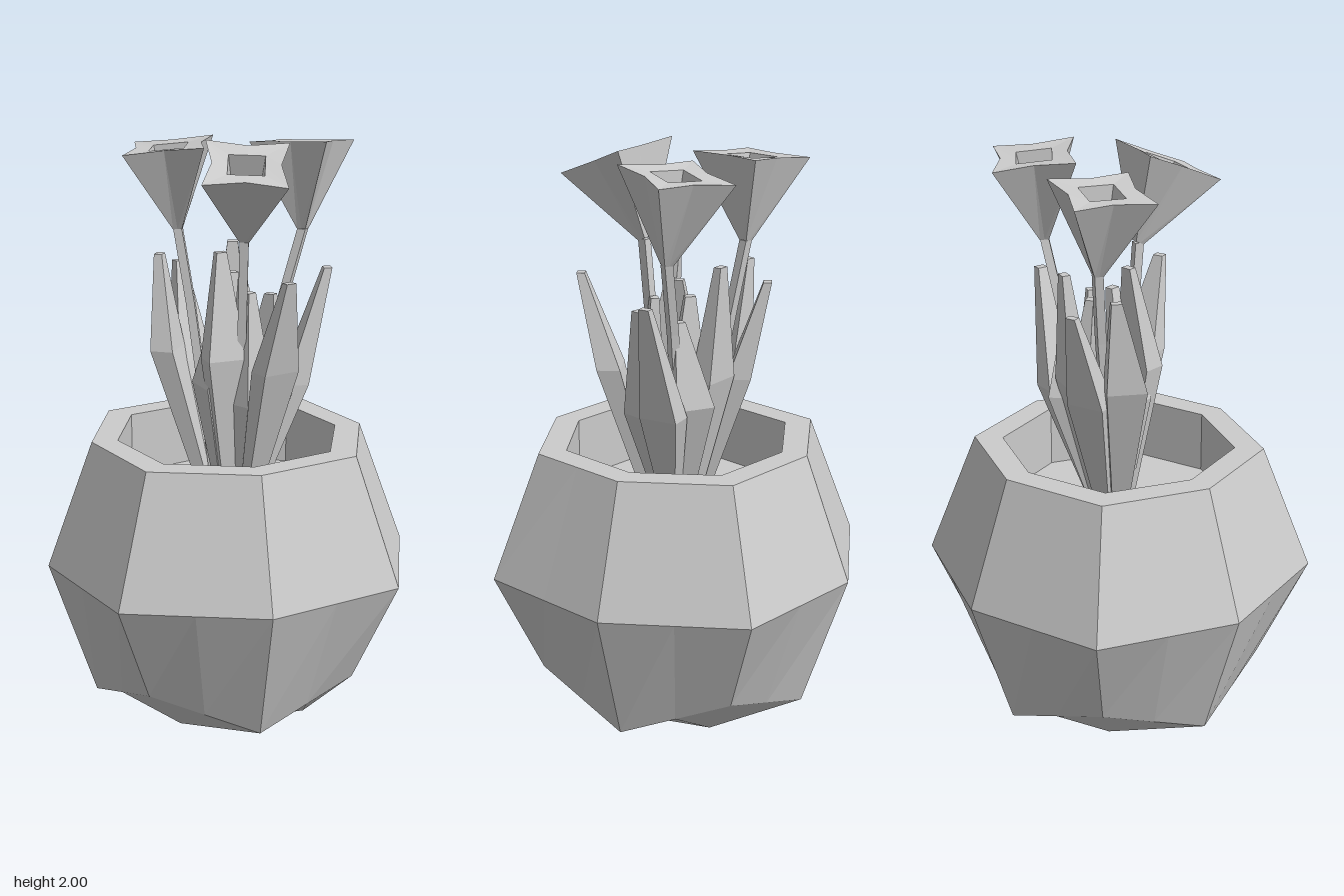
import * as THREE from 'three';

const material = new THREE.MeshStandardMaterial({ color: 0xcccccc, flatShading: true });
const V = (x, y, z) => new THREE.Vector3(x, y, z);

// Skin a list of rings (counter-clockwise seen from +y) and cap both ends
function loft(name, rings) {
  const out = [];
  const tri = (...pts) => pts.forEach((p) => out.push(p.x, p.y, p.z));
  const n = rings[0].length;
  for (let k = 0; k < rings.length - 1; k++) {
    const a = rings[k], b = rings[k + 1];
    for (let i = 0; i < n; i++) {
      const j = (i + 1) % n;
      tri(a[i], a[j], b[j]);
      tri(a[i], b[j], b[i]);
    }
  }
  const first = rings[0], last = rings[rings.length - 1];
  for (let i = 1; i < n - 1; i++) {
    tri(first[0], first[i + 1], first[i]);
    tri(last[0], last[i], last[i + 1]);
  }
  const geometry = new THREE.BufferGeometry();
  geometry.setAttribute('position', new THREE.Float32BufferAttribute(out, 3));
  geometry.computeVertexNormals();
  const mesh = new THREE.Mesh(geometry, material);
  mesh.name = name;
  return mesh;
}

// Pot ring: 4 axis points, 4 diagonal points and the 8 points between them
function potRing(axisR, axisY, diag, diagY, snapToDiagonal = false) {
  const corners = [];
  for (let i = 0; i < 8; i++) {
    const a = (i * Math.PI) / 4;
    const r = i % 2 ? diag * Math.SQRT2 : axisR;
    corners.push(V(r * Math.sin(a), i % 2 ? diagY : axisY, r * Math.cos(a)));
  }
  return corners.flatMap((p, i) => {
    const q = corners[(i + 1) % 8];
    const between = snapToDiagonal ? (i % 2 ? p : q).clone() : p.clone().lerp(q, 0.5);
    return [p, between];
  });
}

function makePot() {
  return loft('pot', [
    potRing(0.24, 0, 0.22, 0, true), // flat foot
    potRing(0.475, 0.06, 0.355, 0.18),
    potRing(0.635, 0.54, 0.475, 0.54),
    potRing(0.475, 0.975, 0.355, 0.975),
    potRing(0.385, 0.975, 0.285, 0.975), // inner rim
    potRing(0.385, 0.76, 0.285, 0.76), // soil
  ]);
}

// Horizontal rectangle, half-width w across the yaw direction, half-depth d along it
function rectRing(c, w, d, yaw) {
  const across = V(Math.cos(yaw), 0, -Math.sin(yaw));
  const along = V(Math.sin(yaw), 0, Math.cos(yaw));
  return [[-1, 1], [1, 1], [1, -1], [-1, -1]].map(([s, t]) =>
    c.clone().addScaledVector(across, s * w).addScaledVector(along, t * d));
}

// Leaf: narrow foot, wide middle, slim blunt tip
function makeLeaf(mid, tip, yaw) {
  const foot = V(mid.x * 0.4 + 0.01, 0.76, mid.z * 0.4);
  return loft('leaf', [
    rectRing(foot, 0.025, 0.02, yaw),
    rectRing(mid, 0.068, 0.04, yaw),
    rectRing(tip, 0.018, 0.014, yaw),
  ]);
}

// Flower: four-pointed funnel with a square pit, tilted along its axis
function makeFlower(base, top, yaw, root) {
  const group = new THREE.Group();
  group.name = 'flower';
  const height = base.distanceTo(top);
  const star = (cornerR, sideR, y) => Array.from({ length: 8 }, (_, i) => {
    const a = yaw + (i * Math.PI) / 4;
    const r = i % 2 ? sideR : cornerR;
    return V(r * Math.sin(a), y, r * Math.cos(a));
  });
  const square = (r, y) => star(r, r * Math.SQRT1_2, y);
  const bloom = loft('bloom', [
    square(0.022, 0),
    star(0.195, 0.112, height),
    square(0.085, height - 0.005),
    square(0.07, height - 0.09),
  ]);
  bloom.position.copy(base);
  bloom.quaternion.setFromUnitVectors(V(0, 1, 0), top.clone().sub(base).normalize());
  const bend = root.clone().lerp(base, 0.72);
  bend.x -= (base.x - root.x) * 0.06;
  const stem = loft('stem', [root, bend, base].map((p) => rectRing(p, 0.015, 0.015, yaw + Math.PI / 4)));
  group.add(bloom, stem);
  return group;
}

export function createModel() {
  const model = new THREE.Group();
  model.name = 'pottedPlant';
  model.add(makePot());

  // Leaves: middle, tip, facing angle
  const leaves = [
    [V(0.25, 1.13, -0.06), V(0.363, 1.53, -0.05), 1.5],
    [V(0.17, 1.1, 0.04), V(0.205, 1.47, 0.05), 1.2],
    [V(0.115, 1.24, 0.2), V(0.135, 1.56, 0.295), 0.35],
    [V(-0.09, 1.2, -0.19), V(-0.11, 1.53, -0.28), 3.5],
    [V(-0.185, 1.26, -0.12), V(-0.2, 1.58, -0.17), 4.2],
    [V(-0.03, 1.26, 0.07), V(-0.03, 1.615, 0.02), 0.15],
    [V(0.05, 1.22, -0.15), V(0.06, 1.61, -0.18), 2.9],
    [V(0.1, 1.15, -0.08), V(0.06, 1.5, -0.07), 2.2],
    [V(0.07, 1.1, 0.07), V(0.06, 1.48, 0.06), 0.6],
    [V(-0.06, 1.15, 0.0), V(0.02, 1.54, -0.01), 4.9],
    [V(0.16, 1.15, -0.12), V(0.17, 1.44, -0.08), 2.4],
  ];
  const foliage = new THREE.Group();
  foliage.name = 'leaves';
  leaves.forEach((leaf) => foliage.add(makeLeaf(...leaf)));
  model.add(foliage);

  // Flowers: funnel base, funnel top, turn, stem root
  model.add(
    makeFlower(V(0.03, 1.67, 0.11), V(0.01, 1.94, 0.22), 0.52, V(0.03, 0.76, 0.03)),
    makeFlower(V(0.285, 1.66, -0.09), V(0.29, 1.955, -0.125), 0.15, V(0.06, 0.76, -0.04)),
    makeFlower(V(-0.13, 1.66, -0.19), V(-0.16, 1.945, -0.195), 0.45, V(-0.03, 0.76, -0.05)),
  );
  return model;
}
